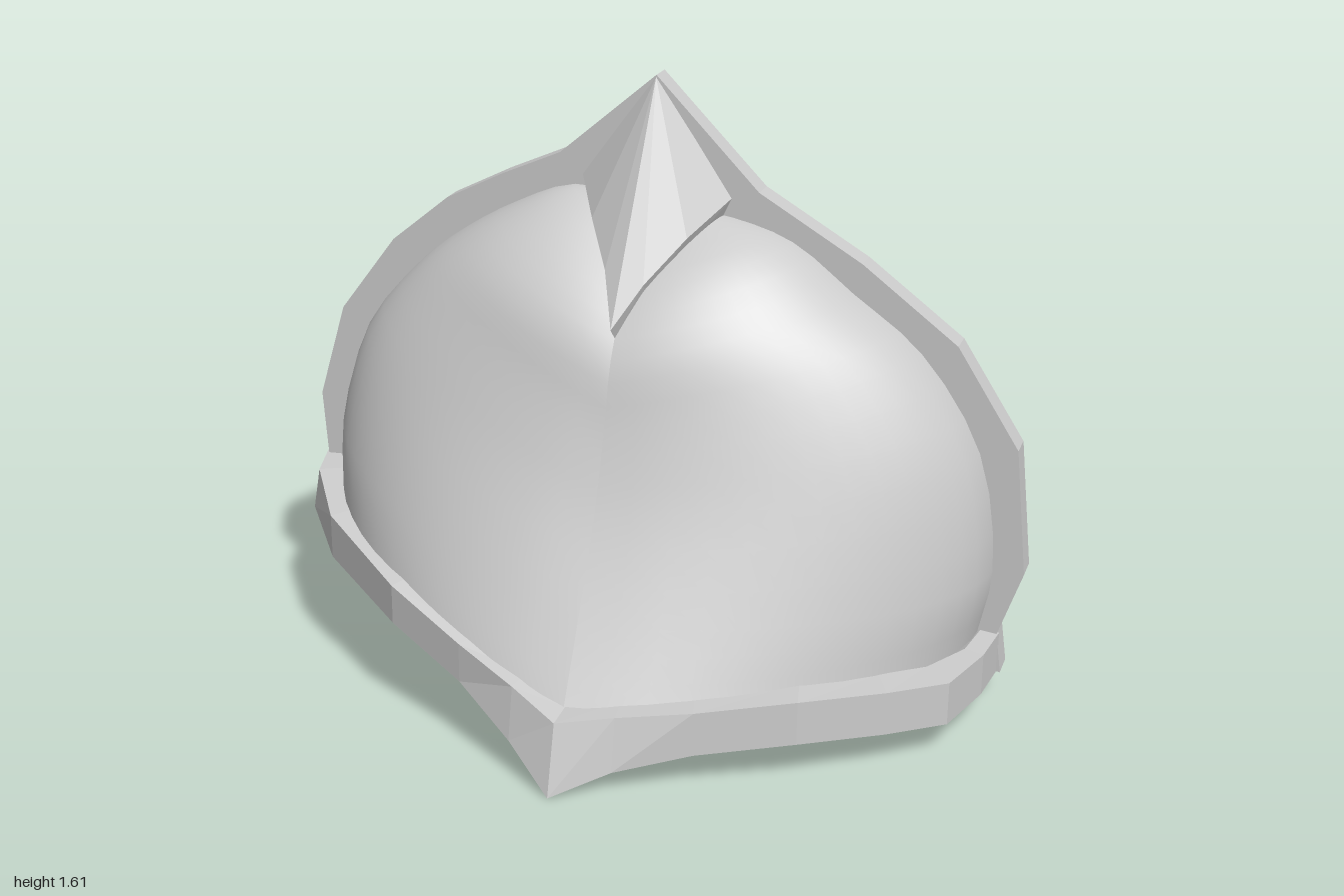
import * as THREE from 'three';

const grey = (flat) => new THREE.MeshStandardMaterial({ color: 0xcccccc, flatShading: flat, side: THREE.DoubleSide });

// Surface through rows of points; 'closed' joins the last column to the first
function loft(rows, closed, smooth) {
  const n = rows[0].length, index = [];
  for (let i = 0; i < rows.length - 1; i++) {
    for (let j = 0; j < (closed ? n : n - 1); j++) {
      const k = (j + 1) % n;
      const a = i * n + j, b = (i + 1) * n + j, c = (i + 1) * n + k, d = i * n + k;
      index.push(a, b, c, a, c, d);
    }
  }
  let g = new THREE.BufferGeometry();
  g.setAttribute('position', new THREE.Float32BufferAttribute(rows.flat(2), 3));
  g.setIndex(index);
  if (!smooth) g = g.toNonIndexed();
  g.computeVertexNormals();
  return g;
}

function add(group, name, geometry, smooth) {
  const mesh = new THREE.Mesh(geometry, grey(!smooth));
  mesh.name = name;
  group.add(mesh);
}

// The back plate leans slightly: depth of its two faces at height y
const frontZ = (y) => -0.385 + 0.025 * y;
const backZ = (y) => -0.467 + 0.035 * y;
const lerp = THREE.MathUtils.lerp;

function backPlate() {
  const outline = [
    [0, 1.61], [-0.26, 1.39], [-0.42, 1.32], [-0.58, 1.24], [-0.74, 1.11], [-0.9, 0.9],
    [-0.98, 0.64], [-0.97, 0.46], [-1, 0.35], [0.945, 0.09], [0.93, 0.2], [0.99, 0.38],
    [0.955, 0.72], [0.79, 0.98], [0.54, 1.17], [0.27, 1.33],
  ];
  const shape = new THREE.Shape(outline.map(([x, y]) => new THREE.Vector2(x, y)));
  const g = new THREE.ExtrudeGeometry(shape, { depth: 1, bevelEnabled: false });
  const p = g.attributes.position;
  for (let i = 0; i < p.count; i++) {
    const y = p.getY(i);
    p.setZ(i, p.getZ(i) > 0.5 ? frontZ(y) : backZ(y));
  }
  g.computeVertexNormals();
  return g;
}

// Half of the dome, swept from the centre ridge out to the rim
function domeHalf(rim, side) {
  const ridge = [
    [0.19, 0.345], [0.36, 0.25], [0.6, 0.125], [0.8, 0.05],
    [0.97, 0], [1.1, -0.1], [1.2, -0.24], [1.28, -0.355],
  ];
  const curve = (pts) => new THREE.CatmullRomCurve3(pts, false, 'centripetal');
  const rimCurve = curve(rim.map(([x, y]) => new THREE.Vector3(x, y, frontZ(y) - 0.005)));
  const ridgeCurve = curve(ridge.map(([y, z]) => new THREE.Vector3(0, y, z)));
  const rows = [], N = 21, M = 14;
  for (let i = 0; i <= N; i++) {
    const t = i / N, r = rimCurve.getPoint(t), c = ridgeCurve.getPoint(t), row = [];
    for (let j = 0; j <= M; j++) {
      const u = j === M ? 1 : Math.sin((j / M) * Math.PI / 2);
      const bulge = Math.pow(1 - Math.pow(u, lerp(1.5, 2, t)), 0.55);
      row.push([r.x * u, lerp(c.y, r.y, u), lerp(r.z, c.z, bulge)]);
    }
    rows.push(side > 0 ? row.reverse() : row);
  }
  return loft(rows, false, true);
}

// Flared lip around the lower edge, swept from right to left
function lowerBand() {
  // outer x, outer z, top y, bottom y, inner x, inner z
  const stations = [
    [-0.98, -0.39, 0.46, 0.35, -0.89, -0.39],
    [-0.95, -0.27, 0.45, 0.335, -0.87, -0.29],
    [-0.81, -0.05, 0.42, 0.30, -0.76, -0.1],
    [-0.53, 0.18, 0.36, 0.255, -0.5, 0.12],
    [-0.3, 0.29, 0.285, 0.18, -0.27, 0.245],
    [-0.13, 0.36, 0.23, 0.095, -0.12, 0.3],
    [0, 0.415, 0.18, 0, 0, 0.345],
    [0.14, 0.37, 0.197, 0.06, 0.13, 0.3],
    [0.32, 0.31, 0.21, 0.095, 0.3, 0.24],
    [0.55, 0.2, 0.225, 0.11, 0.53, 0.115],
    [0.74, 0.06, 0.215, 0.1, 0.7, -0.01],
    [0.87, -0.06, 0.205, 0.09, 0.8, -0.11],
    [0.92, -0.25, 0.2, 0.088, 0.87, -0.25],
    [0.935, -0.39, 0.2, 0.09, 0.89, -0.39],
  ];
  const rows = stations.map(([x, z, top, bottom, ix, iz]) => {
    const flare = 0.05 * Math.max(0, 1 - Math.abs(x) / 0.3);
    const spread = x < -0.9 ? -0.02 : 0;
    return [
      [x + spread, bottom, z + flare], [x, top, z],
      [ix, top + 0.005, iz - 0.01], [ix, bottom + 0.02 + flare * 0.4, iz - 0.01],
    ];
  });
  return loft(rows, true);
}

// Beak-like spike with an arched lower edge
function spike() {
  const half = [[-0.2, 1.34, -0.355], [-0.125, 1.265, -0.215], [-0.05, 1.17, -0.1]];
  const edge = [
    ...half, [0, 1.05, 0],
    ...half.map(([x, y, z]) => [-x, y - 0.03, z]).reverse(),
  ];
  const rows = edge.map(([x, y, z]) => [
    [0, 1.2, -0.37], [x * 0.97, y - 0.03, z - 0.03], [x, y, z], [0, 1.605, -0.342],
  ]);
  return loft(rows, false);
}

export function createModel() {
  const group = new THREE.Group();
  group.name = 'spikedDomeGuard';

  add(group, 'backPlate', backPlate());

  const rightRim = [
    [-0.89, 0.45], [-0.89, 0.62], [-0.81, 0.88], [-0.65, 1.07],
    [-0.52, 1.17], [-0.38, 1.25], [-0.22, 1.31], [0, 1.28],
  ];
  const leftRim = [
    [0.88, 0.2], [0.91, 0.38], [0.86, 0.7], [0.7, 0.95],
    [0.52, 1.09], [0.36, 1.21], [0.2, 1.26], [0, 1.28],
  ];
  add(group, 'domeRight', domeHalf(rightRim, -1), true);
  add(group, 'domeLeft', domeHalf(leftRim, 1), true);

  add(group, 'lowerBand', lowerBand());
  add(group, 'topSpike', spike());
  return group;
}
